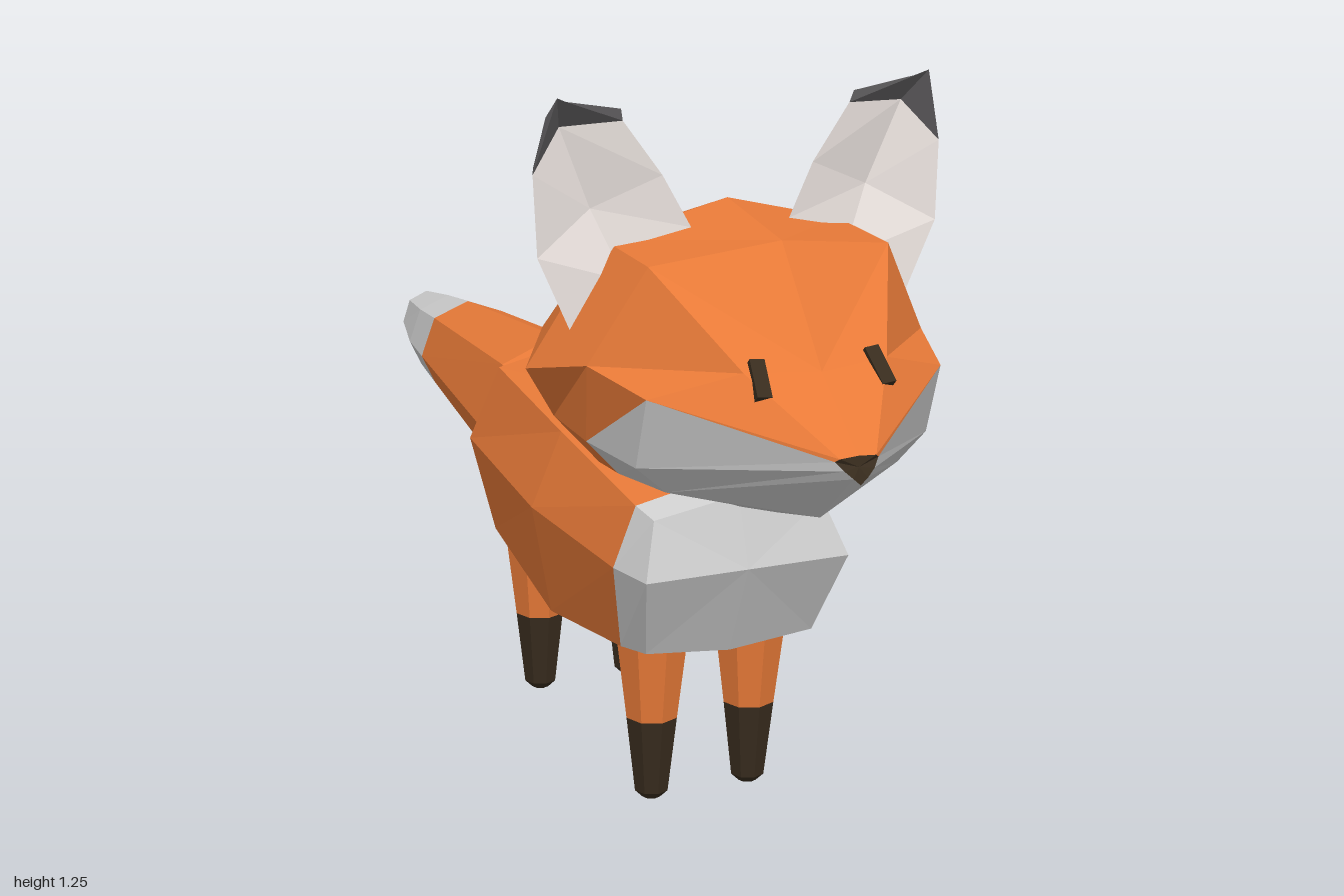
import * as THREE from 'three';

const mat = (color) => new THREE.MeshStandardMaterial({ color, flatShading: true });
const MATS = {
  orange: mat(0xe87a38), grey: mat(0xcccccc), dark: mat(0x382c1e),
  earBack: mat(0x686668), earBase: mat(0xf09068), earInner: mat(0xebe3df),
};

// Full ring from one half profile: top, down the left side, bottom, mirrored back up
const mirrorRing = (half) => [
  ...half,
  ...half.slice(1, -1).reverse().map(([x, y, z]) => [-x, y, z]),
];

// Skin a list of rings; paint(segment, band, tri, index) names the colour of each facet.
// Segment -1 is the first cap, segment rings.length - 1 the last one.
function loft(name, rings, paint, { start, end, flip = false } = {}) {
  const group = new THREE.Group();
  group.name = name;
  const facets = {};
  const push = (key, a, b, c) => {
    const list = (facets[key] ??= []);
    for (const [x, y, z] of flip ? [a, c, b] : [a, b, c]) list.push(flip ? -x : x, y, z);
  };
  const n = rings[0].length;
  const last = rings.length - 1;
  const mean = (r) => [0, 1, 2].map((k) => r.reduce((s, p) => s + p[k], 0) / n);
  const c0 = start ?? mean(rings[0]);
  const c1 = end ?? mean(rings[last]);
  for (let i = 0; i < n; i++) {
    const j = (i + 1) % n;
    const right = i < n / 2;
    const band = right ? i : n - 1 - i;
    for (let s = 0; s < last; s++) {
      const a = rings[s][i], b = rings[s][j], c = rings[s + 1][j], d = rings[s + 1][i];
      push(paint(s, band, 0, i), a, b, right ? c : d);
      push(paint(s, band, 1, i), right ? a : b, c, d);
    }
    push(paint(-1, band, 0, i), c0, rings[0][j], rings[0][i]);
    push(paint(last, band, 0, i), c1, rings[last][i], rings[last][j]);
  }
  for (const [key, list] of Object.entries(facets)) {
    const geo = new THREE.BufferGeometry();
    geo.setAttribute('position', new THREE.Float32BufferAttribute(list, 3));
    geo.computeVertexNormals();
    const mesh = new THREE.Mesh(geo, MATS[key]);
    mesh.name = `${name}_${key}`;
    group.add(mesh);
  }
  return group;
}

function makeBody() {
  // each ring: spine, shoulder, flank, lower flank, belly
  const rings = [
    [[0, 0.575, 0.58], [0.15, 0.55, 0.58], [0.18, 0.46, 0.62], [0.15, 0.31, 0.55], [0, 0.295, 0.55]],
    [[0, 0.595, 0.53], [0.165, 0.565, 0.54], [0.2, 0.46, 0.53], [0.17, 0.305, 0.49], [0, 0.285, 0.5]],
    [[0, 0.625, 0.2], [0.16, 0.59, 0.2], [0.215, 0.46, 0.2], [0.18, 0.265, 0.2], [0, 0.22, 0.2]],
    [[0, 0.625, -0.19], [0.14, 0.605, -0.16], [0.18, 0.46, -0.21], [0.15, 0.295, -0.16], [0, 0.245, -0.17]],
    [[0, 0.61, -0.22], [0.11, 0.585, -0.21], [0.15, 0.45, -0.24], [0.12, 0.32, -0.235], [0, 0.27, -0.22]],
  ].map(mirrorRing);
  const paint = (s, band) => (s < 1 || (band === 3 && s < 3) ? 'grey' : 'orange');
  return loft('body', rings, paint, { start: [0, 0.46, 0.62], end: [0, 0.44, -0.25] });
}

function makeTail() {
  // z, half width, top, bottom
  const rings = [
    [-0.18, 0.135, 0.61, 0.35], [-0.235, 0.147, 0.63, 0.338], [-0.72, 0.1, 0.577, 0.39],
    [-0.84, 0.085, 0.56, 0.4], [-0.98, 0.052, 0.535, 0.425], [-1, 0.035, 0.515, 0.445],
  ].map(([z, w, top, bottom]) => {
    const mid = (top + bottom) / 2;
    const h = (top - bottom) / 2;
    return mirrorRing([[0, top, z], [w * 0.72, mid + h * 0.7, z], [w, mid - h * 0.12, z],
      [w * 0.72, mid - h * 0.75, z], [0, bottom, z]]);
  });
  return loft('tail', rings, (s) => (s >= 2 ? 'grey' : 'orange'));
}

function makeHead() {
  // each ring: crown, brow, cheek, lower cheek, jaw, chin
  const rings = [
    [[0, 0.765, 0.99], [0.03, 0.763, 0.99], [0.036, 0.758, 0.985], [0.025, 0.745, 0.995], [0.012, 0.733, 1], [0, 0.722, 1]],
    [[0, 0.86, 0.865], [0.12, 0.865, 0.845], [0.25, 0.82, 0.78], [0.25, 0.7, 0.74], [0.2, 0.655, 0.74], [0, 0.63, 0.87]],
    [[0, 1.03, 0.72], [0.205, 0.998, 0.68], [0.29, 0.84, 0.64], [0.275, 0.705, 0.6], [0.22, 0.645, 0.6], [0, 0.59, 0.72]],
    [[0, 1.055, 0.52], [0.205, 1, 0.5], [0.345, 0.81, 0.52], [0.29, 0.72, 0.5], [0.22, 0.64, 0.52], [0, 0.555, 0.58]],
    [[0, 0.995, 0.38], [0.16, 0.975, 0.39], [0.245, 0.82, 0.335], [0.22, 0.7, 0.345], [0.16, 0.61, 0.36], [0, 0.58, 0.4]],
  ].map(mirrorRing);
  const paint = (s, band, tri) => {
    if (s < 0) return 'dark';
    if (s === 0) return band >= 2 ? 'grey' : 'orange';
    if (s === 1) return band >= 3 || (band === 2 && tri === 0) ? 'grey' : 'orange';
    return s < 4 && band === 4 ? 'grey' : 'orange';
  };
  const head = loft('head', rings, paint, { end: [0, 0.81, 0.28] });

  // eyes lie on the slope of the face
  for (const side of [-1, 1]) {
    const eye = new THREE.Mesh(new THREE.BoxGeometry(0.024, 0.066, 0.03), MATS.dark);
    eye.name = side > 0 ? 'leftEye' : 'rightEye';
    eye.position.set(side * 0.1, 0.85, 0.853);
    eye.rotation.set(-0.8, 0, side * 0.12);
    head.add(eye);
  }
  return head;
}

function makeEar(name, flip) {
  // each ring: inner rim, hollow, outer rim, outer back, inner back
  const rings = [
    [[0.085, 1.025, 0.57], [0.19, 0.945, 0.555], [0.285, 0.865, 0.575], [0.27, 0.89, 0.49], [0.12, 0.985, 0.49]],
    [[0.13, 1.11, 0.56], [0.24, 1.06, 0.53], [0.345, 1, 0.575], [0.305, 1.04, 0.475], [0.18, 1.08, 0.475]],
    [[0.195, 1.2, 0.555], [0.295, 1.195, 0.54], [0.35, 1.13, 0.57], [0.315, 1.12, 0.48], [0.22, 1.15, 0.48]],
    [[0.2, 1.22, 0.56], [0.3, 1.242, 0.583], [0.317, 1.25, 0.59], [0.305, 1.205, 0.51], [0.225, 1.195, 0.51]],
  ];
  const paint = (s, band, tri, i) => {
    if (i < 2 && s >= 0 && s < 2) return 'earInner';
    return s < 1 ? 'earBase' : 'earBack';
  };
  return loft(name, rings, paint, { flip });
}

function makeLeg(name, x, z) {
  const leg = new THREE.Group();
  leg.name = name;
  // top radius, bottom radius, bottom y, top y
  const parts = [
    ['upperLeg', 'orange', 0.072, 0.046, 0.15, 0.36],
    ['sock', 'dark', 0.046, 0.03, 0.014, 0.15],
    ['paw', 'dark', 0.03, 0.016, 0, 0.014],
  ];
  for (const [part, color, r1, r0, y0, y1] of parts) {
    const mesh = new THREE.Mesh(new THREE.CylinderGeometry(r1, r0, y1 - y0, 8), MATS[color]);
    mesh.name = part;
    mesh.position.y = (y0 + y1) / 2;
    leg.add(mesh);
  }
  leg.position.set(x, 0, z);
  return leg;
}

export function createModel() {
  const fox = new THREE.Group();
  fox.name = 'fox';
  fox.add(makeBody(), makeTail(), makeHead(), makeEar('leftEar', false), makeEar('rightEar', true));
  for (const [side, x] of [['Left', 0.09], ['Right', -0.09]]) {
    fox.add(makeLeg(`front${side}Leg`, x, 0.435), makeLeg(`back${side}Leg`, x, -0.09));
  }
  return fox;
}
